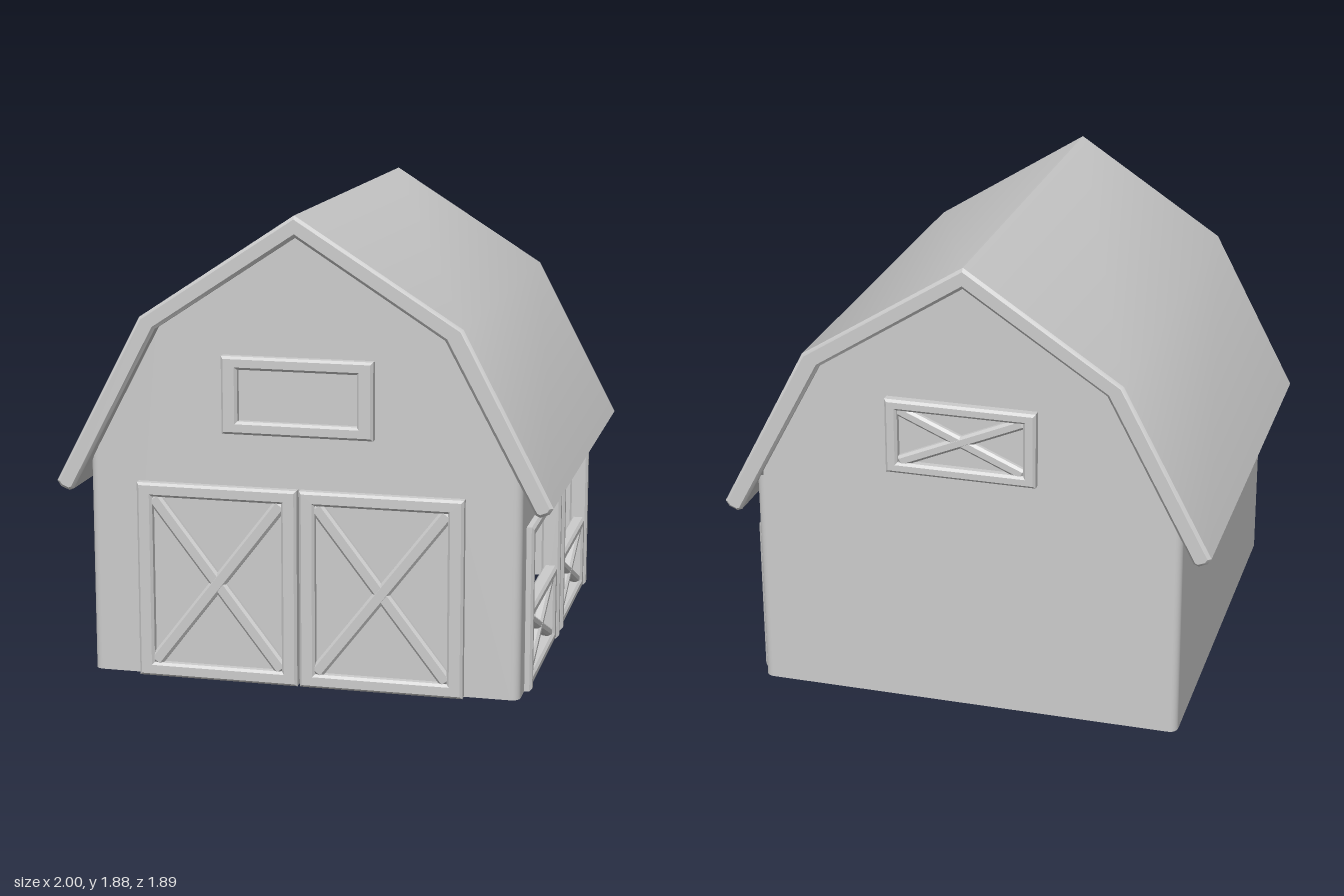
import * as THREE from 'three';
import { toCreasedNormals } from 'three/addons/utils/BufferGeometryUtils.js';

const solid = new THREE.MeshStandardMaterial({ color: 0xcccccc });
const thin = new THREE.MeshStandardMaterial({ color: 0xcccccc, side: THREE.DoubleSide });

const shapeOf = (pts) => new THREE.Shape(pts.map(([x, y]) => new THREE.Vector2(x, y)));
const rect = (x0, y0, x1, y1) => [[x0, y0], [x1, y0], [x1, y1], [x0, y1]];

function add(parent, name, geometry, material = solid) {
  const mesh = new THREE.Mesh(geometry, material);
  mesh.name = name;
  parent.add(mesh);
  return mesh;
}

// Bevelled slab from a shape, spanning z0 to z1
function slab(shape, z0, z1, bevel = 0.01) {
  const g = new THREE.ExtrudeGeometry(shape, {
    depth: z1 - z0 - 2 * bevel, bevelEnabled: true, bevelSize: bevel,
    bevelThickness: bevel, bevelOffset: -bevel, bevelSegments: 1, steps: 1,
  });
  g.translate(0, 0, z0 + bevel);
  return toCreasedNormals(g, 0.54);
}

// Rectangular frame with optional crossed braces and backing panel;
// local z = 0 is the wall surface, +z points outward
function framedPanel(name, [x0, y0, x1, y1], bx, by, out, { cross = false, panel = false, back = -0.03 } = {}) {
  const group = new THREE.Group();
  group.name = name;
  const shape = shapeOf(rect(x0, y0, x1, y1));
  shape.holes.push(new THREE.Path(
    rect(x0 + bx, y0 + by, x1 - bx, y1 - by).map(([x, y]) => new THREE.Vector2(x, y))));
  add(group, name + 'Frame', slab(shape, back, out));
  const w = x1 - x0, h = y1 - y0, cx = (x0 + x1) / 2, cy = (y0 + y1) / 2;
  if (cross) {
    const iw = w - 2 * bx, ih = h - 2 * by, len = Math.hypot(iw, ih), half = Math.min(bx, by) / 2;
    [1, -1].forEach((s) => {
      const brace = add(group, name + 'Brace',
        slab(shapeOf(rect(-len / 2, -half, len / 2, half)), back + 0.008, out - 0.008 - (s < 0 ? 0.001 : 0)));
      brace.position.set(cx, cy, 0);
      brace.rotation.z = s * Math.atan2(ih, iw);
    });
  }
  if (panel) {
    const board = add(group, name + 'Panel', new THREE.BoxGeometry(w - bx, h - by, 0.012));
    board.position.set(cx, cy, 0);
  }
  return group;
}

export function createModel() {
  const barn = new THREE.Group();
  barn.name = 'barn';
  const L = -0.88, R = 0.87, F = 0.88, B = -0.905, r = 0.035, eave = 0.92;

  // Gambrel roof
  add(barn, 'roof', slab(shapeOf([
    [-1, 0.795], [-0.985, 0.772], [-0.95, 0.757], [-0.93, 0.765],
    [-0.58, 1.425], [-0.013, 1.8], [0.575, 1.425],
    [0.93, 0.765], [0.95, 0.757], [0.985, 0.772], [1, 0.795],
    [0.645, 1.47], [-0.015, 1.885], [-0.643, 1.47],
  ]), -0.93, 0.945, 0.012));

  // Gable walls, the front one cut out for the doors
  const gableTop = [[R - r, 0.95], [0.585, 1.435], [-0.013, 1.815], [-0.59, 1.435], [L + r, 0.95]];
  const doorway = [[-0.65, 0], [-0.65, 0.77], [0.625, 0.77], [0.625, 0]];
  add(barn, 'frontWall', new THREE.ShapeGeometry(
    shapeOf([[L + r, 0], ...doorway, [R - r, 0], ...gableTop])), thin).position.z = F;
  const backWall = add(barn, 'backWall', new THREE.ShapeGeometry(
    shapeOf([[-R + r, 0], [-L - r, 0], ...gableTop.map(([x, y]) => [-x, y]).reverse()])), thin);
  backWall.position.z = B;
  backWall.rotation.y = Math.PI;

  // Side walls; along the left one local x runs toward the back
  const stalls = [[-0.76, -0.005], [0.07, 0.83]];
  const notches = stalls.flatMap(([a, b]) =>
    [[a + 0.02, 0], [a + 0.02, 0.65], [b - 0.02, 0.65], [b - 0.02, 0]]);
  const leftSide = new THREE.Group();
  leftSide.name = 'stallSide';
  leftSide.position.x = R;
  leftSide.rotation.y = Math.PI / 2;
  barn.add(leftSide);
  add(leftSide, 'leftWall', new THREE.ShapeGeometry(shapeOf(
    [[-F + r, 0], ...notches, [-B - r, 0], [-B - r, eave], [-F + r, eave]])), thin);
  const rightWall = add(barn, 'rightWall', new THREE.ShapeGeometry(
    shapeOf(rect(B + r, 0, F - r, eave))), thin);
  rightWall.position.x = L;
  rightWall.rotation.y = -Math.PI / 2;

  // Rounded wall corners
  [[R - r, F - r, 0], [R - r, B + r, 1], [L + r, B + r, 2], [L + r, F - r, 3]].forEach(([x, z, q]) => {
    add(barn, 'wallCorner', new THREE.CylinderGeometry(
      r, r, eave, 6, 1, true, q * Math.PI / 2, Math.PI / 2), thin).position.set(x, eave / 2, z);
  });

  // Stall openings with half-height gates
  stalls.forEach(([a, b]) => {
    const arch = shapeOf([[a, 0], [a + 0.042, 0], [a + 0.042, 0.628], [b - 0.042, 0.628],
      [b - 0.042, 0], [b, 0], [b, 0.67], [a, 0.67]]);
    add(leftSide, 'stallFrame', slab(arch, -0.05, 0.03));
    leftSide.add(framedPanel('stallGate', [a + 0.04, 0, b - 0.04, 0.32], 0.05, 0.04, 0.02,
      { cross: true, back: -0.04 }));
  });

  // Double doors and loft window on the front
  const front = new THREE.Group();
  front.name = 'frontOpenings';
  front.position.z = F;
  barn.add(front);
  [[-0.675, -0.018], [-0.008, 0.65]].forEach(([a, b]) => {
    front.add(framedPanel('door', [a, 0, b, 0.8], 0.063, 0.056, 0.04, { cross: true, panel: true }));
  });
  front.add(framedPanel('loftWindow', [-0.32, 1.015, 0.29, 1.325], 0.065, 0.052, 0.04, { panel: true }));

  // Braced loft window on the back
  const rear = new THREE.Group();
  rear.name = 'backOpenings';
  rear.position.z = B;
  rear.rotation.y = Math.PI;
  rear.add(framedPanel('backWindow', [-0.305, 1.015, 0.305, 1.325], 0.05, 0.045, 0.04,
    { cross: true, panel: true }));
  barn.add(rear);

  return barn;
}
